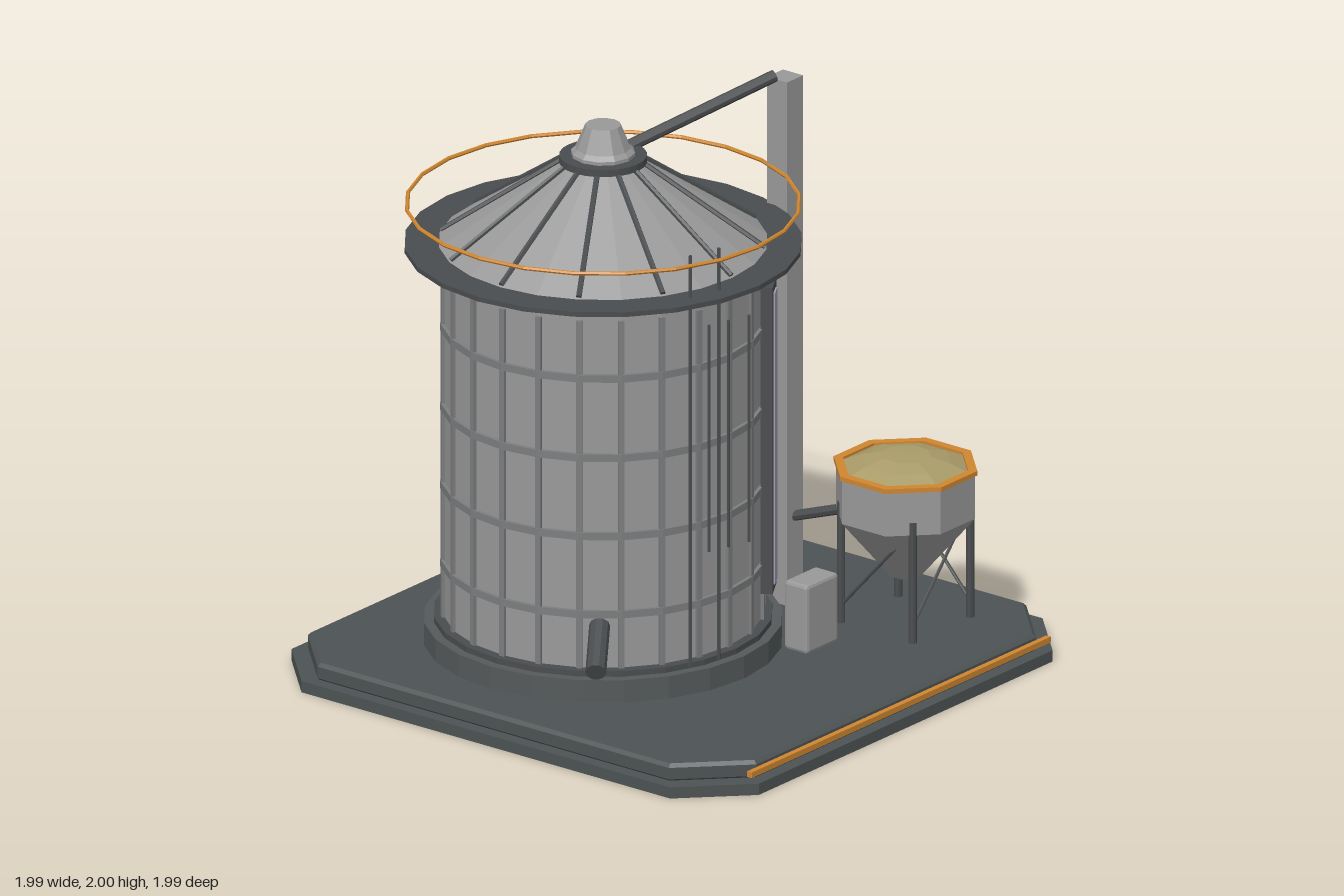
import * as THREE from 'three';
import { RoundedBoxGeometry } from 'three/addons/geometries/RoundedBoxGeometry.js';

const mat = (name, color) => {
  const m = new THREE.MeshStandardMaterial({ color, flatShading: true });
  m.name = name;
  return m;
};

export function createModel() {
  const steel = mat('galvanised steel', 0x999999);
  const seam = mat('seam grey', 0x7c7e7f);
  const dark = mat('dark steel', 0x4a4d4f);
  const slab = mat('slab grey', 0x4d5354);
  const plinth = mat('plinth grey', 0x565a5b);
  const orange = mat('safety orange', 0xcf8630);
  const pane = mat('pale violet glass', 0xa19cb0);
  const grainMat = mat('grain', 0xa99b69);

  const model = new THREE.Group();
  model.name = 'grainSilo';

  const add = (parent, name, geo, material, x = 0, y = 0, z = 0) => {
    const m = new THREE.Mesh(geo, material);
    m.name = name;
    m.position.set(x, y, z);
    parent.add(m);
    return m;
  };
  const group = (name, x = 0, y = 0, z = 0) => {
    const g = new THREE.Group();
    g.name = name;
    g.position.set(x, y, z);
    model.add(g);
    return g;
  };
  // Vertical drum between two heights
  const drum = (parent, name, rBottom, rTop, y0, y1, material, sides = 24) =>
    add(parent, name, new THREE.CylinderGeometry(rTop, rBottom, y1 - y0, sides), material, 0, (y0 + y1) / 2, 0);
  // Round bar between two points
  const bar = (parent, name, a, b, r, material, sides = 8) => {
    const p = new THREE.Vector3(...a), q = new THREE.Vector3(...b);
    const d = q.clone().sub(p);
    const m = add(parent, name, new THREE.CylinderGeometry(r, r, d.length(), sides), material);
    m.position.copy(p).add(q).multiplyScalar(0.5);
    m.quaternion.setFromUnitVectors(new THREE.Vector3(0, 1, 0), d.normalize());
    return m;
  };
  const lathe = (points, sides) =>
    new THREE.LatheGeometry(points.map(([r, y]) => new THREE.Vector2(r, y)), sides);

  // Base slabs with cut corners
  const cutSquare = (h, c) => new THREE.Shape([
    [h, -h + c], [h, h - c], [h - c, h], [-h + c, h],
    [-h, h - c], [-h, -h + c], [-h + c, -h], [h - c, -h],
  ].map(([x, y]) => new THREE.Vector2(x, y)));
  const slabGeo = (h, c, height, bevel) => new THREE.ExtrudeGeometry(cutSquare(h - bevel, c), {
    depth: height - 2 * bevel, bevelEnabled: bevel > 0,
    bevelSize: bevel, bevelThickness: bevel, bevelSegments: 1,
  }).rotateX(-Math.PI / 2).translate(0, bevel, 0);
  add(model, 'lowerSlab', slabGeo(0.995, 0.21, 0.04, 0), slab);
  add(model, 'upperSlab', slabGeo(0.955, 0.2, 0.065, 0.012), slab, 0, 0.035, 0);
  add(model, 'baseStripe', new THREE.BoxGeometry(1.6, 0.02, 0.02), orange, 0, 0.07, 0.967);

  // Silo body
  const silo = group('silo', -0.18, 0, -0.15);
  drum(silo, 'foundation', 0.6, 0.6, 0.1, 0.18, plinth);
  drum(silo, 'foundationRim', 0.567, 0.567, 0.18, 0.2, dark);
  drum(silo, 'wall', 0.533, 0.533, 0.2, 1.5, steel);
  for (const y of [0.393, 0.672, 0.952, 1.235])
    drum(silo, 'hoop', 0.546, 0.546, y - 0.013, y + 0.013, seam);
  for (let i = 0; i < 24; i++) {
    const a = i * Math.PI / 12;
    const rib = add(silo, 'wallRib', new THREE.BoxGeometry(0.02, 1.24, 0.02), seam,
      0.533 * Math.sin(a), 0.82, 0.533 * Math.cos(a));
    rib.rotation.y = a;
  }
  drum(silo, 'eavesBand', 0.547, 0.547, 1.462, 1.503, orange);

  // Walkway and handrail
  add(silo, 'walkway', lathe([[0.5, 1.503], [0.665, 1.503], [0.665, 1.52], [0.5, 1.52], [0.5, 1.503]], 24), dark);
  add(silo, 'handrail', new THREE.TorusGeometry(0.657, 0.007, 6, 24).rotateX(Math.PI / 2), orange, 0, 1.655, 0);

  // Roof, roof ribs and vent cap
  drum(silo, 'roof', 0.553, 0.12, 1.518, 1.81, steel);
  for (let i = 0; i < 12; i++) {
    const a = i * Math.PI / 6, s = Math.sin(a), c = Math.cos(a);
    bar(silo, 'roofRib', [0.545 * s, 1.527, 0.545 * c], [0.13 * s, 1.808, 0.13 * c], 0.01, dark, 6);
  }
  drum(silo, 'roofCollar', 0.147, 0.147, 1.803, 1.828, dark);
  add(silo, 'ventCap', lathe([[0.108, 1.825], [0.108, 1.84], [0.093, 1.855], [0.06, 1.935], [0, 1.935]], 12), steel);

  // Level window
  const win = new THREE.Group();
  win.name = 'levelWindow';
  win.rotation.y = 0.55;
  silo.add(win);
  add(win, 'windowFrame', new THREE.BoxGeometry(0.1, 1.095, 0.04), dark, 0, 0.85, 0.555);
  add(win, 'windowPane', new THREE.BoxGeometry(0.06, 1.04, 0.008), pane, 0, 0.85, 0.577);

  // Ladder stiles and safety cage rods
  const ladder = group('ladder');
  for (const [x, z] of [[-0.41, 0.405], [-0.297, 0.435]])
    bar(ladder, 'ladderStile', [x, 0.2, z], [x, 1.67, z], 0.006, dark, 6);
  for (const [x, z] of [[-0.467, 0.53], [-0.392, 0.553], [-0.312, 0.577]])
    bar(ladder, 'cageRod', [x, 0.66, z], [x, 1.47, z], 0.005, dark, 6);

  // Discharge chute
  bar(model, 'dischargeChute', [-0.765, 0.26, 0.285], [-0.6, 0.35, 0.17], 0.035, dark, 10);

  // Elevator tower and its spouts
  add(model, 'elevatorTower', new THREE.BoxGeometry(0.086, 1.87, 0.086), steel, 0.475, 1.035, 0.103);
  bar(model, 'roofSpout', [-0.06, 1.825, -0.135], [0.435, 1.98, 0.09], 0.021, dark, 10);
  bar(model, 'feedAuger', [0.475, 0.405, 0.13], [0.495, 0.488, 0.37], 0.018, dark, 8);

  // Control cabinet
  add(model, 'controlCabinet', new RoundedBoxGeometry(0.17, 0.245, 0.1, 1, 0.012), steel, 0.073, 0.287, 0.535);

  // Octagonal hopper: radii are given across the flats
  const hopper = group('hopper', 0.583, 0, 0.53);
  const oct = (name, points, material) => {
    const k = 1 / Math.cos(Math.PI / 8);
    const m = add(hopper, name, lathe(points.map(([r, y]) => [r * k, y]), 8), material);
    m.rotation.y = Math.PI / 8;
  };
  oct('hopperShell', [[0, 0.262], [0.05, 0.262], [0.223, 0.485], [0.223, 0.642]], steel);
  oct('hopperRim', [[0.2, 0.64], [0.23, 0.64], [0.23, 0.656], [0.2, 0.656], [0.2, 0.64]], orange);
  oct('grain', [[0.205, 0.645], [0.145, 0.672], [0.08, 0.69], [0, 0.694]], grainMat);
  const L = 0.153;
  for (let i = 0; i < 4; i++) {
    const side = new THREE.Group();
    side.name = 'legSet';
    side.rotation.y = i * Math.PI / 2;
    hopper.add(side);
    bar(side, 'hopperLeg', [L, 0.1, L], [L, 0.53, L], 0.014, dark);
    bar(side, 'hopperBrace', [-L, 0.16, L], [L, 0.5, L], 0.006, dark, 6);
  }
  return model;
}
